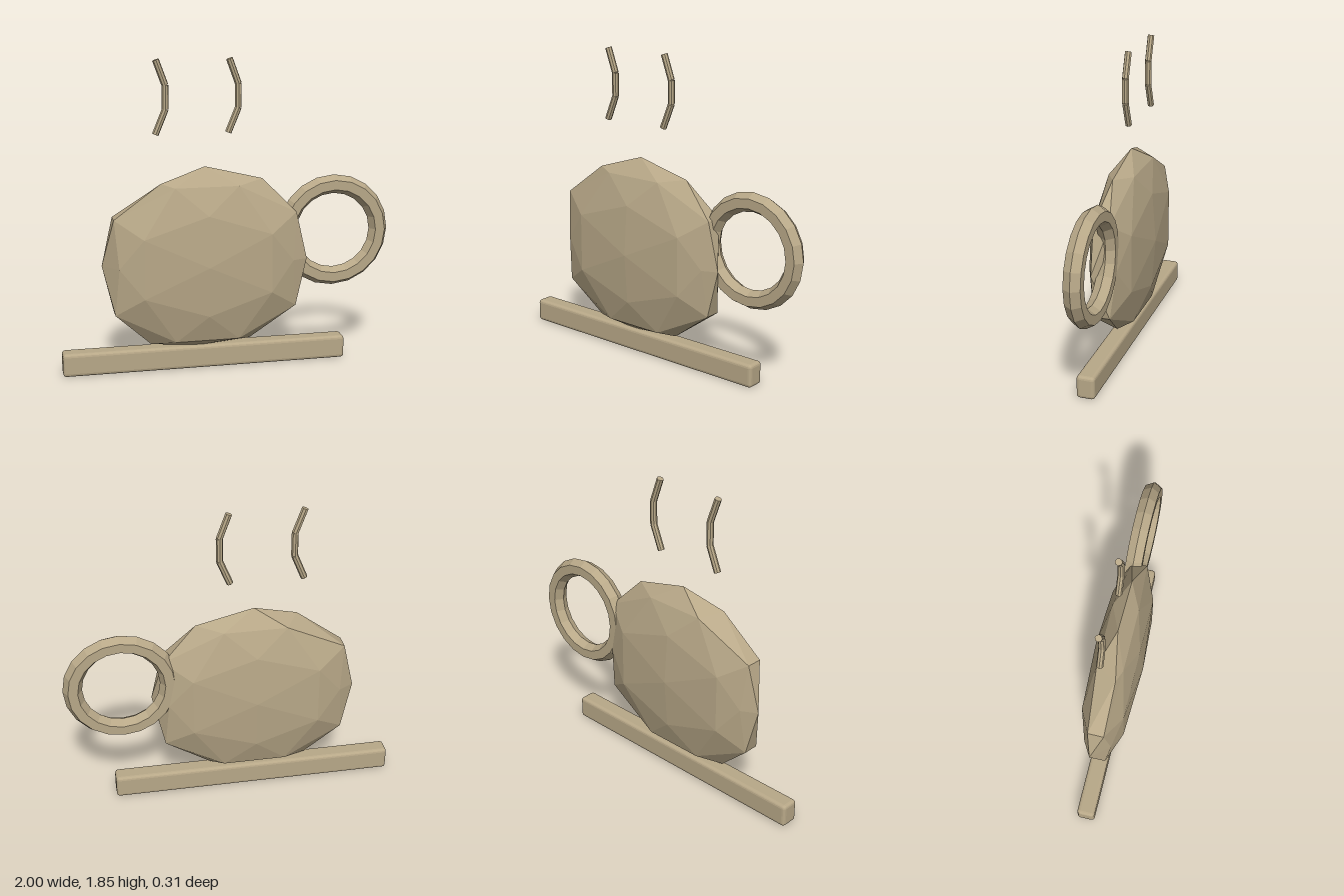
import * as THREE from 'three';
import { RoundedBoxGeometry } from 'three/addons/geometries/RoundedBoxGeometry.js';

const material = new THREE.MeshStandardMaterial({ color: 0xb8a888, flatShading: true });

function addMesh(parent, name, geometry, x = 0, y = 0, z = 0) {
  const mesh = new THREE.Mesh(geometry, material);
  mesh.name = name;
  mesh.position.set(x, y, z);
  parent.add(mesh);
  return mesh;
}

// Flattened faceted cup: a subdivided icosahedron with uneven corners
function cupGeometry() {
  const geometry = new THREE.IcosahedronGeometry(1, 1);
  const pos = geometry.attributes.position;
  // Hand-shaped rim corners: [direction, new place] on the unit form
  const shaped = [
    [[0, -1, 0], [-0.1, -0.9, 0]],
    [[1, 0, 0], [1, 0, 0.27]],
    [[-1, 0, 0], [-1, 0, -0.18]],
    [[0.526, 0.851, 0], [0.564, 0.854, 0]],
    [[-0.526, 0.851, 0], [-0.438, 0.854, 0.33]],
    [[0.526, -0.851, 0], [0.441, -0.852, 0]],
    [[-0.526, -0.851, 0], [-0.542, -0.852, 0]],
  ].map(([from, to]) => [new THREE.Vector3(...from), new THREE.Vector3(...to)]);
  const v = new THREE.Vector3();
  for (let i = 0; i < pos.count; i++) {
    v.fromBufferAttribute(pos, i);
    const match = shaped.find(([from]) => from.distanceTo(v) < 0.05);
    if (match) v.copy(match[1]);
    else if (Math.abs(Math.abs(v.x) - 0.809) < 0.01) v.x *= 1.1;
    else if (Math.abs(Math.abs(v.x) - 0.5) < 0.01) v.x *= 1.24;
    pos.setXYZ(i, v.x * 0.613, v.y * 0.576, v.z * 0.155);
  }
  geometry.computeVertexNormals();
  return geometry;
}

// One straight piece of steam between two points
function addRod(parent, a, b) {
  const rod = addMesh(parent, 'steamSegment', new THREE.CylinderGeometry(0.02, 0.02, a.distanceTo(b), 8));
  rod.position.copy(a).add(b).multiplyScalar(0.5);
  rod.quaternion.setFromUnitVectors(new THREE.Vector3(0, 1, 0), b.clone().sub(a).normalize());
}

export function createModel() {
  const model = new THREE.Group();
  model.name = 'steamingCup';

  // Saucer bar and cup
  addMesh(model, 'saucer', new RoundedBoxGeometry(1.72, 0.14, 0.11, 2, 0.02), -0.14, 0.07, -0.007);
  addMesh(model, 'cup', cupGeometry(), -0.14, 0.648, 0);

  // Ring handle, partly sunk in the cup
  addMesh(model, 'handle', new THREE.TorusGeometry(0.286, 0.057, 6, 20), 0.655, 0.795, -0.033);

  // Two bent wisps of steam
  for (const x of [-0.365, 0.066]) {
    const wisp = new THREE.Group();
    wisp.name = 'steam';
    wisp.position.set(x, 0, -0.03);
    const points = [[-0.06, 1.415], [0, 1.56], [0, 1.7], [-0.053, 1.845]]
      .map(([px, py]) => new THREE.Vector3(px, py, 0));
    for (let i = 0; i < 3; i++) addRod(wisp, points[i], points[i + 1]);
    model.add(wisp);
  }
  return model;
}
